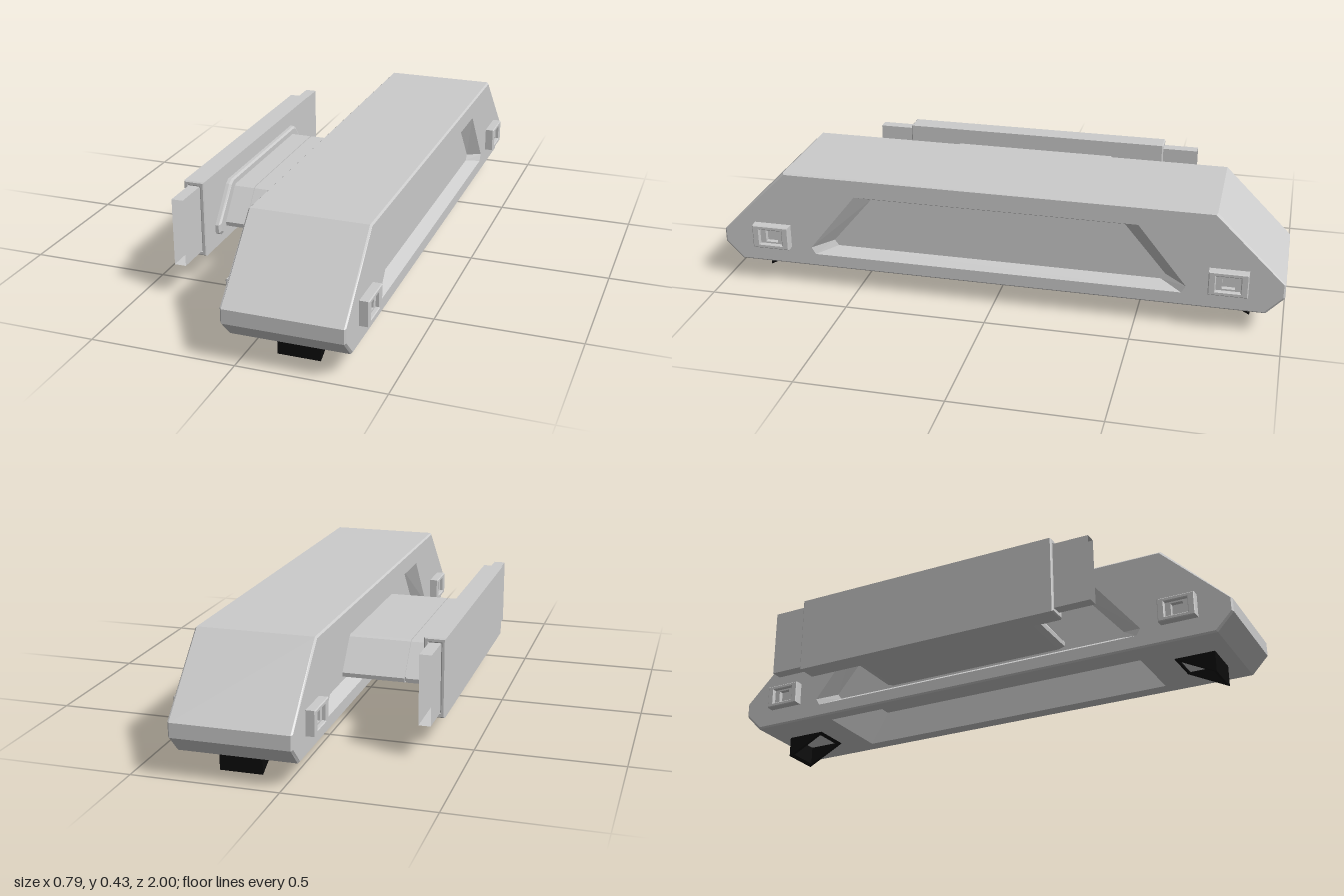
import * as THREE from 'three';
import { mergeGeometries } from 'three/addons/utils/BufferGeometryUtils.js';

const grey = new THREE.MeshStandardMaterial({ color: 0xcccccc, side: THREE.DoubleSide });
const black = new THREE.MeshStandardMaterial({ color: 0x0c0c0c, side: THREE.DoubleSide });
const v2 = (pts) => pts.map((p) => new THREE.Vector2(p[0], p[1]));
const atX = (x) => ([z, y]) => [x, y, z];
const mirror = (half) => [...half, ...half.map(([z, y]) => [-z, y]).reverse()];
const rect = (a0, a1, b0, b1) => [[a0, b0], [a1, b0], [a1, b1], [a0, b1]];

// Band of quads between two loops of 3D points, optionally leaving out some sides
function loft(a, b, skip = []) {
  const pos = [];
  a.forEach((p, i) => {
    if (skip.includes(i)) return;
    const j = (i + 1) % a.length;
    pos.push(...p, ...a[j], ...b[j], ...p, ...b[j], ...b[i]);
  });
  const g = new THREE.BufferGeometry();
  g.setAttribute('position', new THREE.Float32BufferAttribute(pos, 3));
  g.computeVertexNormals();
  return g;
}

// Flat face from a 2D outline with an optional hole, placed by a mapping rule
function sheet(outline, hole, map) {
  const contour = v2(outline), holes = hole ? [v2(hole)] : [];
  const all = [...outline, ...(hole || [])].map(map);
  const pos = THREE.ShapeUtils.triangulateShape(contour, holes).flatMap((t) => t.flatMap((i) => all[i]));
  const g = new THREE.BufferGeometry();
  g.setAttribute('position', new THREE.Float32BufferAttribute(pos, 3));
  g.computeVertexNormals();
  return g;
}

// Solid with a (z, y) outline running along x
function prism(loop, x0, x1) {
  return mergeGeometries([
    loft(loop.map(atX(x0)), loop.map(atX(x1))),
    sheet(loop, null, atX(x0)), sheet(loop, null, atX(x1)),
  ]);
}

// Rectangular frame in (a, b), extruded along its normal
function frame(outer, hole, depth, bevel) {
  const s = new THREE.Shape(v2(outer));
  if (hole) s.holes.push(new THREE.Path(v2(hole)));
  return new THREE.ExtrudeGeometry(s, {
    depth: depth - 2 * bevel, bevelEnabled: bevel > 0, bevelSize: bevel,
    bevelOffset: -bevel, bevelThickness: bevel, bevelSegments: 1,
  }).translate(0, 0, bevel);
}

export function createModel() {
  const root = new THREE.Group();
  const add = (name, geo, mat = grey, parent = root) => {
    const m = new THREE.Mesh(geo, mat);
    m.name = name;
    parent.add(m);
    return m;
  };

  // Main housing: chamfered profile, with a sloped recess in both sides
  const X0 = -0.045, X1 = 0.365, C = 0.006;
  const profile = mirror([[0.94, 0.077], [1, 0.14], [1, 0.19], [0.76, 0.43]]);
  const inset = profile.map(([z, y]) => [z * 0.994, 0.25 + (y - 0.25) * 0.967]);
  const recess = mirror([[0.655, 0.125], [0.67, 0.15], [0.5, 0.362]]);
  const floor = mirror([[0.58, 0.15], [0.595, 0.17], [0.45, 0.342]]);
  const last = profile.length - 1; // the bottom side, filled separately
  const parts = [loft(profile.map(atX(X0 + C)), profile.map(atX(X1 - C)), [last])];
  for (const [x, s] of [[X0, 1], [X1, -1]]) {
    parts.push(
      loft(profile.map(atX(x + s * C)), inset.map(atX(x))),
      sheet(inset, recess, atX(x)),
      loft(recess.map(atX(x)), floor.map(atX(x + s * 0.04))),
      sheet(floor, null, atX(x + s * 0.04)),
    );
  }
  // Underside with a deep pocket
  const atY = (y) => ([x, z]) => [x, y, z];
  const mouth = rect(0.01, 0.305, -0.63, 0.63), ceiling = rect(0.01, 0.305, -0.56, 0.56);
  parts.push(
    sheet(rect(X0 + C, X1 - C, -0.94, 0.94), mouth, atY(0.077)),
    loft(mouth.map(atY(0.077)), ceiling.map(atY(0.2))),
    sheet(ceiling, null, atY(0.2)),
  );
  add('housing', mergeGeometries(parts));

  // Row of small pins and three dark ports in the pocket
  const pins = new THREE.Group();
  pins.name = 'pinRow';
  root.add(pins);
  for (let i = 0; i < 17; i++) {
    add('pin', new THREE.CylinderGeometry(0.012, 0.006, 0.025, 8), grey, pins)
      .position.set(0.08, 0.189, -0.52 + i * 0.065);
  }
  for (const z of [-0.27, 0, 0.27]) {
    add('port', new THREE.CylinderGeometry(0.035, 0.035, 0.012, 24), black).position.set(0.17, 0.196, z);
  }

  // Wedge-shaped hollow feet
  const footLoop = (t, s, y) => rect(0.097 + t, 0.243 - t, 0.737 + t, 0.885 - t)
    .map(([x, z]) => [x, y ?? 0.077 - (z - 0.737) * 0.52, z * s]);
  for (const s of [1, -1]) {
    const outer = footLoop(0, s), inner = footLoop(0.014, s);
    add(s > 0 ? 'frontFoot' : 'backFoot', mergeGeometries([
      loft(footLoop(0, s, 0.08), outer), loft(outer, inner), loft(inner, footLoop(0.014, s, 0.077)),
    ]), black);
  }

  // Square clips near each corner of both sides
  for (const side of [1, -1]) for (const z of [0.812, -0.812]) {
    const clip = new THREE.Group();
    clip.name = 'sideClip';
    clip.position.set(side > 0 ? X1 - 0.004 : X0 + 0.004, 0.187, z);
    clip.rotation.y = side * Math.PI / 2;
    root.add(clip);
    add('clipFrame', frame(rect(-0.067, 0.067, -0.043, 0.043), rect(-0.042, 0.042, -0.028, 0.028), 0.036, 0.003), grey, clip);
    add('clipInset', frame(rect(-0.042, 0.042, -0.028, 0.028), rect(-0.022, 0.022, -0.022, 0.022), 0.022, 0), grey, clip);
  }

  // Arm reaching sideways, in two lengths with a narrow seam
  const armLoop = mirror([[0.345, 0.158], [0.368, 0.165], [0.37, 0.18], [0.285, 0.286], [0.275, 0.291]]);
  const coreLoop = armLoop.map(([z, y]) => [z * 0.98, 0.225 + (y - 0.225) * 0.95]);
  add('innerArm', prism(armLoop, -0.226, 0));
  add('outerArm', prism(armLoop, -0.306, -0.231));
  add('armSeam', prism(coreLoop, -0.24, -0.22));

  // Stepped collar where the arm meets the plate
  const collar = mirror([[0.4, 0.143], [0.42, 0.155], [0.42, 0.185], [0.32, 0.305], [0.3, 0.316]]);
  const lip = collar.map(([z, y]) => [z * 0.97, 0.228 + (y - 0.228) * 0.93]);
  add('collar', mergeGeometries([
    prism(collar, -0.338, -0.312),
    loft(collar.map(atX(-0.312)), lip.map(atX(-0.306))),
    sheet(lip, null, atX(-0.306)),
  ]));

  // Hollow plate with an open sleeve running through it
  add('plate', frame(rect(-0.398, -0.324, 0.1, 0.375), rect(-0.382, -0.341, 0.118, 0.358), 1, 0.004))
    .position.z = -0.5;
  const sleeve = rect(-0.382, -0.341, 0.118, 0.358);
  add('sleeve', loft(sleeve.map(([x, y]) => [x, y, -0.628]), sleeve.map(([x, y]) => [x, y, 0.628])));

  return root;
}
